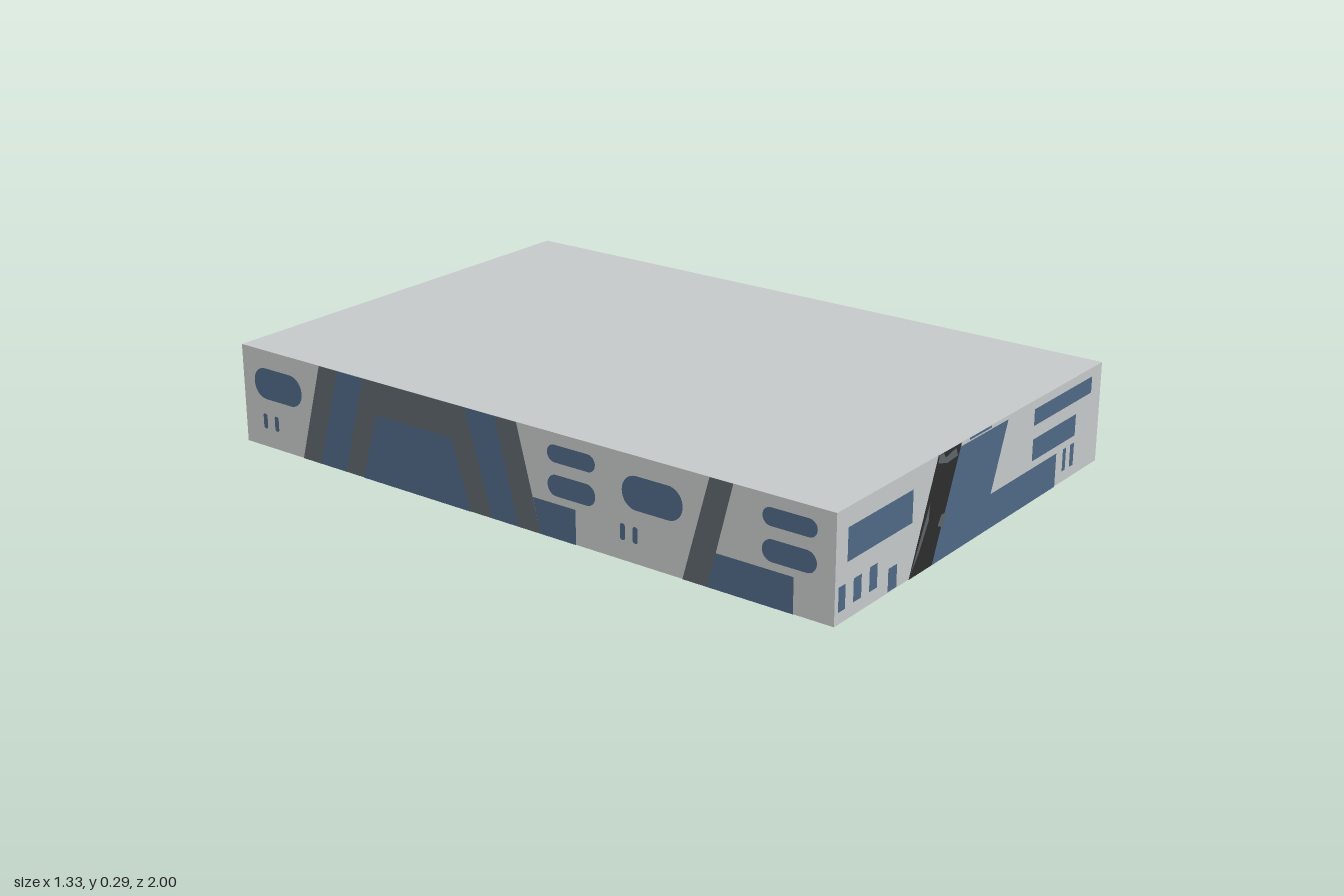
import * as THREE from 'three';

const W = 1.326, H = 0.29, D = 1.994, GAP = 0.0015;

const mat = (name, color) => {
  const m = new THREE.MeshStandardMaterial({ color });
  m.name = name;
  return m;
};

// Rectangle outline, with rounded ends when r > 0
function rectShape(x0, x1, y0, y1, r = 0) {
  const s = new THREE.Shape();
  if (!r) {
    s.moveTo(x0, y0).lineTo(x1, y0).lineTo(x1, y1).lineTo(x0, y1);
    return s;
  }
  s.absarc(x1 - r, y0 + r, r, -Math.PI / 2, 0);
  s.absarc(x1 - r, y1 - r, r, 0, Math.PI / 2);
  s.absarc(x0 + r, y1 - r, r, Math.PI / 2, Math.PI);
  s.absarc(x0 + r, y0 + r, r, Math.PI, Math.PI * 1.5);
  return s;
}

const polyShape = pts => new THREE.Shape(pts.map(p => new THREE.Vector2(p[0], p[1])));

// Slanted full-height stripe: bottom span b0..b1, top span t0..t1
const band = (b0, b1, t0, t1) => polyShape([[b0, 0], [b1, 0], [t1, H], [t0, H]]);

export function createModel() {
  const grey = mat('pale grey', 0xc5c9c9);
  const blue = mat('slate blue', 0x4e6885);
  const black = mat('charcoal', 0x2c2c2c);
  const slate = mat('weathered slate', 0x5b656a);
  const dark = mat('underside dark', 0x1a1a24);

  const model = new THREE.Group();
  model.name = 'panelledSlab';

  // Solid slab, dark underneath
  const body = new THREE.Mesh(new THREE.BoxGeometry(W, H, D), [grey, grey, grey, dark, grey, grey]);
  body.name = 'slabBody';
  body.position.y = H / 2;
  model.add(body);

  // One group per side: local x runs to the viewer's right, z points out
  function side(name, angle, dist) {
    const g = new THREE.Group();
    g.name = name;
    g.rotation.y = angle;
    g.position.set(Math.sin(angle) * dist, 0, Math.cos(angle) * dist);
    model.add(g);
    return (part, material, shapes, layer = 1) => {
      const mesh = new THREE.Mesh(new THREE.ShapeGeometry(shapes, 6), material);
      mesh.name = part;
      mesh.position.z = layer * GAP;
      g.add(mesh);
    };
  }

  // Front
  const front = side('frontPanels', 0, D / 2);
  front('windows', blue, [
    rectShape(-0.615, -0.326, 0.15, 0.238), rectShape(0.28, 0.605, 0.218, 0.265),
    rectShape(0.28, 0.522, 0.118, 0.18),
  ]);
  front('smallWindows', blue, [
    rectShape(-0.65, -0.62, 0.032, 0.097), rectShape(-0.585, -0.55, 0.035, 0.097),
    rectShape(-0.515, -0.48, 0.035, 0.1), rectShape(-0.43, -0.39, 0.003, 0.065),
    rectShape(0.458, 0.476, 0.032, 0.097), rectShape(0.5, 0.522, 0.032, 0.097),
  ]);
  front('slantedStripe', black, band(-0.333, -0.223, -0.213, -0.1));
  front('bluePanel', blue, [
    polyShape([[-0.223, 0], [0.42, 0], [0.42, 0.097], [0.0625, 0.097], [0.137, 0.28], [-0.105, 0.28]]),
    rectShape(-0.06, 0.05, 0.284, H),
  ]);
  front('wornPatches', slate, [
    polyShape([[-0.216, 0.27], [-0.17, 0.258], [-0.12, 0.262], [-0.13, 0.285], [-0.18, 0.275], [-0.19, H], [-0.21, H]]),
    polyShape([[-0.205, 0.1], [-0.18, 0.088], [-0.165, 0.125], [-0.19, 0.125]]),
    polyShape([[-0.325, 0.015], [-0.29, 0.06], [-0.25, 0.13], [-0.246, 0.175]]),
  ], 2);

  // The two long sides share one layout; the second has rounded windows
  function longSide(name, angle, stripe, round) {
    const add = side(name, angle, W / 2);
    const r = k => round * k;
    const pairs = [[0.126, 0.282], [0.79, 0.946]];
    add('windows', blue, [
      rectShape(-0.952, -0.764, 0.145, 0.237, r(0.045)), rectShape(0.367, 0.555, 0.145, 0.237, r(0.045)),
      ...pairs.map(([a, b]) => rectShape(a, b, 0.21, 0.258, r(0.024))),
      ...pairs.map(([a, b]) => rectShape(a, b, 0.118, 0.177, r(0.029))),
    ]);
    const small = [];
    if (round) {
      for (const x of [-0.925, -0.88, 0.36, 0.4]) small.push(rectShape(x, x + 0.016, 0.055, 0.1, 0.007));
    } else {
      for (const o of [0, 1.319]) {
        for (const x of [-0.979, -0.93, -0.88]) small.push(rectShape(x + o, x + o + 0.026, 0.032, 0.097));
        small.push(rectShape(-0.834 + o, -0.807 + o, 0.003, 0.06));
      }
      for (const o of [0, 0.667]) {
        small.push(rectShape(0.239 + o, 0.251 + o, 0.032, 0.097), rectShape(0.266 + o, 0.28 + o, 0.032, 0.097));
      }
    }
    add('smallWindows', blue, small);
    add('slantedStripes', stripe, [
      band(-0.77, -0.7, -0.689, -0.619), band(0.024, 0.1, -0.05, 0.024), band(0.555, 0.63, 0.635, 0.705),
    ]);
    add('blueStripes', blue, [band(-0.7, -0.603, -0.619, -0.523), band(-0.067, 0.024, -0.153, -0.05)]);
    add('archFrame', stripe, band(-0.603, -0.067, -0.523, -0.153));
    add('archPanel', blue, polyShape([[-0.534, 0], [-0.142, 0], [-0.2, 0.195], [-0.475, 0.195]]), 2);
    add('lowPanels', blue, [
      polyShape([[0.1, 0], [0.217, 0], [0.217, 0.097], [0.075, 0.097]]),
      polyShape([[0.63, 0], [0.882, 0], [0.882, 0.097], [0.655, 0.097]]),
    ]);
    return add;
  }

  const right = longSide('rightPanels', Math.PI / 2, black, 0);
  right('wornPatches', slate, [
    polyShape([[-0.25, 0.265], [-0.225, 0.25], [-0.165, 0.252], [-0.145, 0.27], [-0.152, H], [-0.24, H]]),
    polyShape([[0.585, 0.03], [0.612, 0.03], [0.625, 0.055], [0.605, 0.06]]),
  ], 2);
  longSide('leftPanels', -Math.PI / 2, slate, 1);

  // Back
  const back = side('backPanels', Math.PI, D / 2);
  back('windows', blue, [
    rectShape(-0.595, -0.315, 0.15, 0.235, 0.036), rectShape(0.04, 0.36, 0.217, 0.265, 0.022),
    rectShape(0.04, 0.275, 0.118, 0.18, 0.03),
  ]);
  back('smallWindows', blue, [
    rectShape(-0.632, -0.606, 0.04, 0.095, 0.012), rectShape(-0.565, -0.533, 0.04, 0.095, 0.014),
    rectShape(-0.497, -0.468, 0.04, 0.095, 0.013), rectShape(-0.42, -0.375, 0.002, 0.068, 0.015),
  ]);
  back('slantedStripe', slate, band(-0.317, -0.193, -0.208, -0.09));
  back('lowPanel', blue, polyShape([[-0.193, 0], [0.17, 0], [0.17, 0.097], [-0.155, 0.097]]));
  back('forkedPanel', blue, polyShape([
    [0.425, 0], [0.55, 0], [0.575, 0.09], [0.64, 0.21], [0.638, 0.28], [0.575, 0.25],
    [0.53, 0.175], [0.5, 0.175], [0.475, 0.215], [0.45, 0.228], [0.425, 0.215], [0.425, 0.185], [0.462, 0.1],
  ]));

  return model;
}
